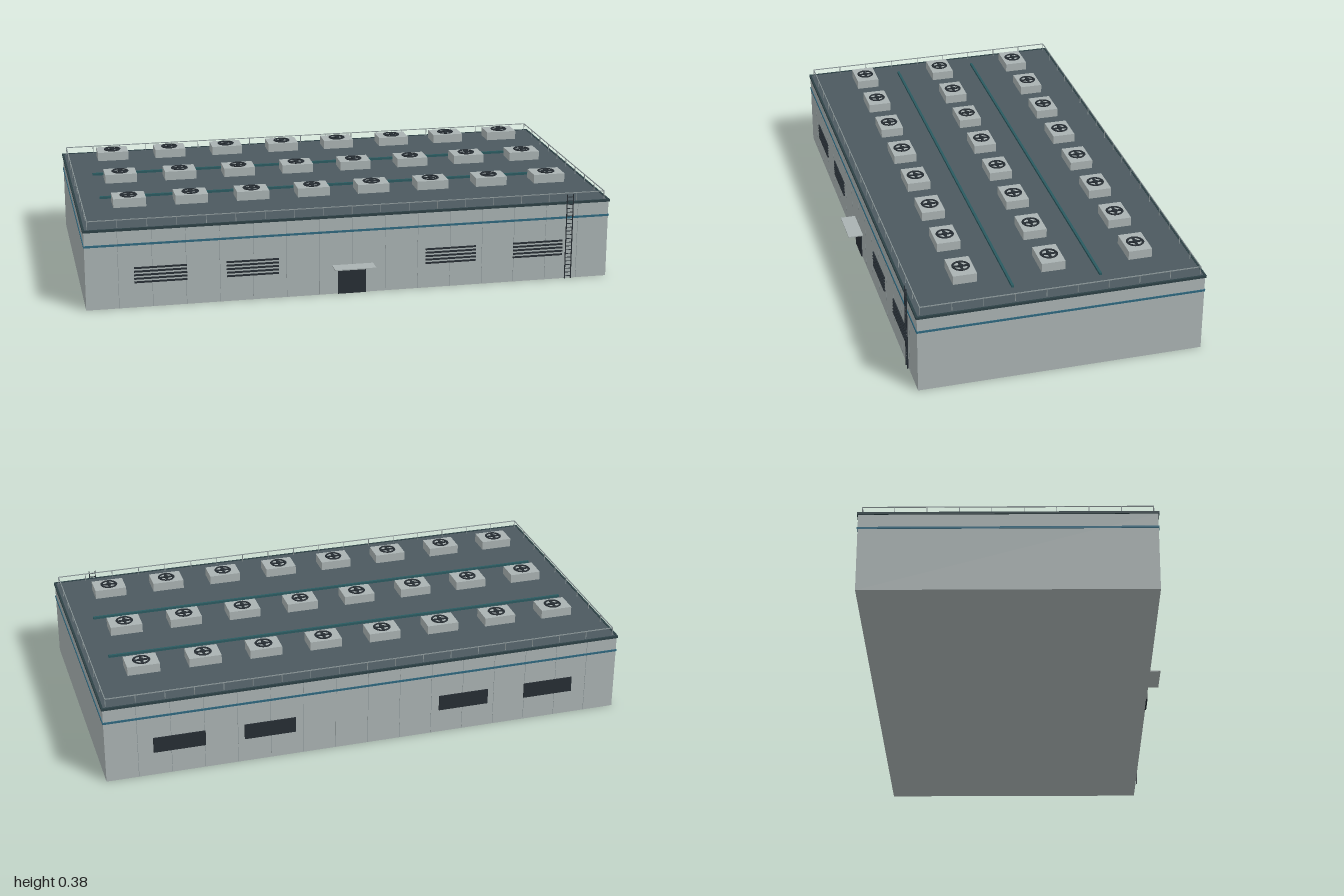
import * as THREE from 'three';

const mat = (name, color) => {
  const m = new THREE.MeshStandardMaterial({ color });
  m.name = name;
  return m;
};

export function createModel() {
  const wall = mat('pale grey cladding', 0xa9b2b2);
  const roofGrey = mat('slate roof', 0x4c595f);
  const dark = mat('dark metal', 0x262d33);
  const blue = mat('blue stripe', 0x2f687f);
  const teal = mat('teal pipe', 0x2a5a60);
  const trim = mat('roof trim', 0x2c4045);
  const steel = mat('rail steel', 0x8a9597);

  const root = new THREE.Group();
  root.name = 'industrialHall';
  const group = (name, parent = root) => {
    const g = new THREE.Group();
    g.name = name;
    parent.add(g);
    return g;
  };
  const box = (parent, name, m, w, h, d, x, y, z) => {
    const b = new THREE.Mesh(new THREE.BoxGeometry(w, h, d), m);
    b.name = name;
    b.position.set(x, y, z);
    parent.add(b);
    return b;
  };

  const front = 0.503, back = -0.555;
  const midZ = (front + back) / 2, depth = front - back;

  // Hall body, roof deck and edge trim
  box(root, 'walls', wall, 1.992, 0.298, depth, 0, 0.149, midZ);
  box(root, 'roofDeck', roofGrey, 1.985, 0.006, depth - 0.008, 0, 0.302, midZ);
  const edges = group('roofTrim');
  for (const s of [-1, 1]) {
    box(edges, 'sideTrim', trim, 0.008, 0.009, depth + 0.008, s * 0.996, 0.302, midZ);
    box(edges, 'longTrim', trim, 1.984, 0.009, 0.008, 0, 0.302, midZ + s * depth / 2);
  }

  // Painted stripe around the walls
  box(root, 'wallStripe', blue, 1.997, 0.008, depth + 0.005, 0, 0.244, midZ);

  // Fine cladding seams
  const seams = group('panelSeams');
  for (let i = -7; i <= 7; i++) {
    for (const z of [front, back]) {
      box(seams, 'seam', steel, 0.0015, 0.296, 0.001, i * 0.125, 0.149, z);
    }
  }

  // Louvres: open slats in front, slats over solid panels behind
  for (const x of [-0.72, -0.378, 0.378, 0.72]) {
    const f = group('frontLouvre');
    for (let i = 0; i < 5; i++) {
      box(f, 'slat', dark, 0.195, 0.006, 0.006, x, 0.098 + i * 0.0137, front + 0.002);
    }
    box(root, 'backLouvre', dark, 0.195, 0.06, 0.006, x, 0.125, back - 0.002);
  }

  // Entrance
  box(root, 'door', dark, 0.106, 0.105, 0.006, -0.003, 0.0525, front + 0.001);
  box(root, 'doorCanopy', wall, 0.156, 0.004, 0.058, 0, 0.111, front + 0.028);

  // Access ladder
  const ladder = group('ladder');
  for (const s of [-1, 1]) {
    box(ladder, 'ladderRail', dark, 0.003, 0.335, 0.004, 0.842 + s * 0.012, 0.1675, front + 0.004);
  }
  for (let i = 0; i < 22; i++) {
    box(ladder, 'rung', dark, 0.024, 0.002, 0.003, 0.842, 0.01 + i * 0.015, front + 0.004);
  }

  // Roof guard rail
  const guard = group('guardRail');
  const railX = 0.982, railF = 0.489, railB = -0.542;
  const railMid = (railF + railB) / 2, railD = railF - railB;
  const post = (x, z) => box(guard, 'post', steel, 0.0025, 0.032, 0.0025, x, 0.32, z);
  for (const z of [railF, railB]) {
    box(guard, 'longRail', steel, railX * 2, 0.003, 0.003, 0, 0.3355, z);
    for (let i = 0; i <= 18; i++) post(-railX + (i * railX) / 9, z);
  }
  for (const x of [-railX, railX]) {
    box(guard, 'sideRail', steel, 0.003, 0.003, railD, x, 0.3355, railMid);
    for (let i = 1; i < 9; i++) post(x, railB + (i * railD) / 9);
  }

  // Pipes between the rows of roof units
  for (const z of [0.133, -0.192]) {
    box(root, 'roofPipe', teal, 1.81, 0.009, 0.009, 0, 0.316, z);
  }

  // Roof units with a ringed fan on top
  const ringGeo = new THREE.TorusGeometry(0.029, 0.0045, 6, 24).rotateX(Math.PI / 2).scale(1, 0.6, 1);
  const hubGeo = new THREE.CylinderGeometry(0.01, 0.01, 0.005, 12);
  for (const z of [0.298, -0.027, -0.352]) {
    for (let i = 0; i < 8; i++) {
      const u = group('roofUnit');
      u.position.set(-0.81 + (i * 1.62) / 7, 0, z);
      box(u, 'unitCasing', wall, 0.122, 0.034, 0.088, 0, 0.353, 0);
      const ring = new THREE.Mesh(ringGeo, dark);
      ring.name = 'fanRing';
      ring.position.y = 0.372;
      const hub = new THREE.Mesh(hubGeo, dark);
      hub.name = 'fanHub';
      hub.position.y = 0.3725;
      u.add(ring, hub);
      box(u, 'fanBlade', dark, 0.058, 0.003, 0.009, 0, 0.3715, 0);
      box(u, 'fanBlade', dark, 0.009, 0.003, 0.058, 0, 0.3715, 0);
    }
  }

  return root;
}
